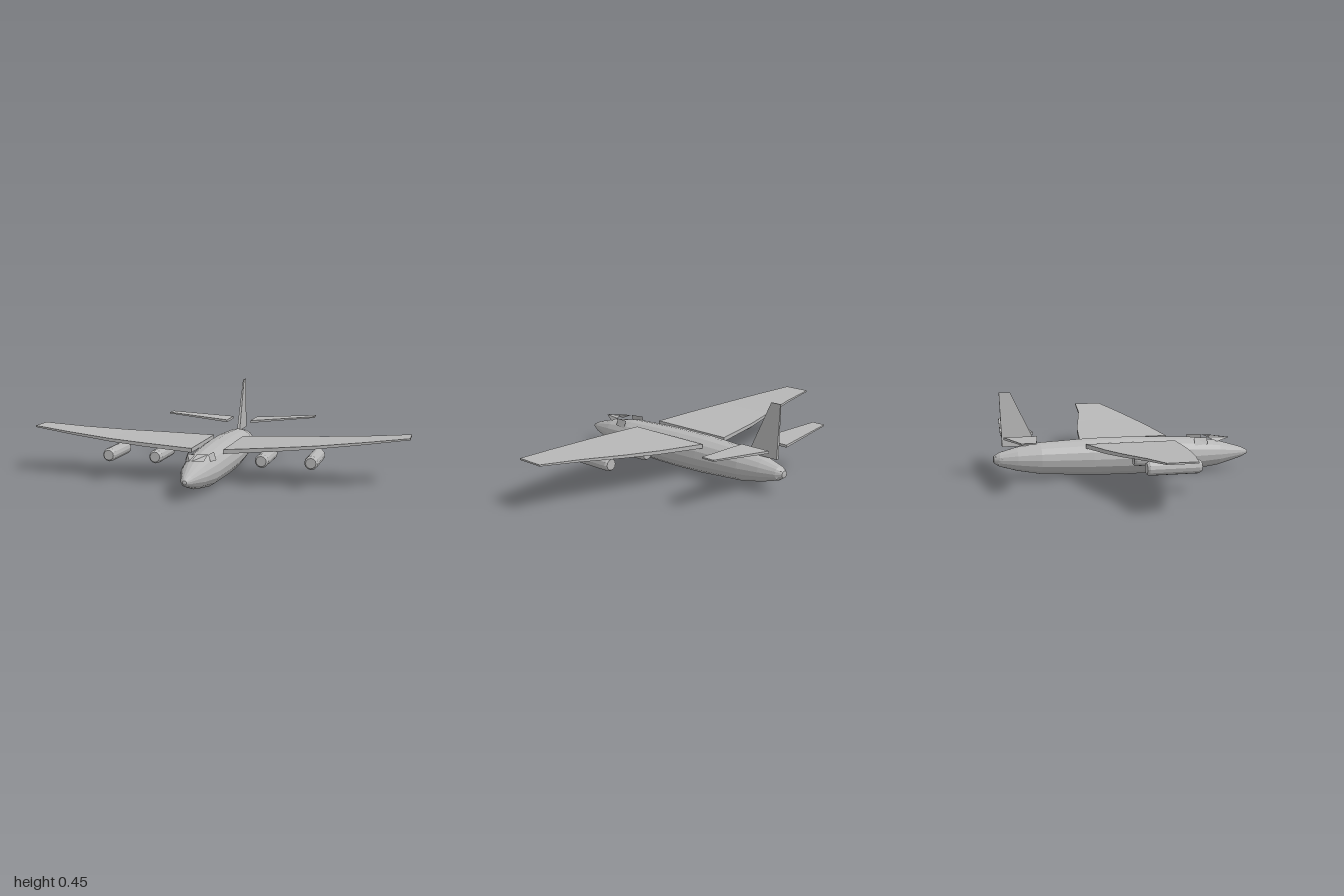
import * as THREE from 'three';

const grey = new THREE.MeshStandardMaterial({ color: 0xb6b6b6 });
grey.name = 'airframe grey';
const paneGrey = new THREE.MeshStandardMaterial({ color: 0xb6b6b6, side: THREE.DoubleSide });
paneGrey.name = 'pane grey';

function add(group, name, geometry, material = grey) {
  const flat = geometry.index ? geometry.toNonIndexed() : geometry;
  flat.computeVertexNormals();
  const mesh = new THREE.Mesh(flat, material);
  mesh.name = name;
  group.add(mesh);
  return mesh;
}

// Turned body along z; profile is [radius, z] from back to front
function turned(profile, sides) {
  const points = profile.map(([r, z]) => new THREE.Vector2(r, z));
  return new THREE.LatheGeometry(points, sides).rotateX(Math.PI / 2);
}

// Closed solid through rings of four corners
function loft(rings) {
  const index = [];
  for (let s = 0; s < rings.length - 1; s++) {
    for (let i = 0; i < 4; i++) {
      const j = (i + 1) % 4, a = s * 4, b = a + 4;
      index.push(a + i, b + i, b + j, a + i, b + j, a + j);
    }
  }
  const e = (rings.length - 1) * 4;
  index.push(0, 1, 2, 0, 2, 3, e + 3, e + 2, e + 1, e + 3, e + 1, e);
  const g = new THREE.BufferGeometry();
  g.setAttribute('position', new THREE.Float32BufferAttribute(rings.flat(2), 3));
  g.setIndex(index);
  return g;
}

// Lifting surface; each station is [x, front z, back z, underside y, thickness]
function surface(stations, side) {
  return loft(stations.map(([x, f, b, y, t]) => {
    const ring = [[x * side, y, f], [x * side, y + t, f], [x * side, y + t, b], [x * side, y, b]];
    return side > 0 ? ring : ring.reverse();
  }));
}

// Thin window pane with three or four corners
function pane(corners, side) {
  const g = new THREE.BufferGeometry();
  const points = corners.flatMap(([x, y, z]) => [x * side, y, z]);
  g.setAttribute('position', new THREE.Float32BufferAttribute(points, 3));
  let index = corners.length === 4 ? [0, 1, 2, 0, 2, 3] : [0, 1, 2];
  if (side < 0) index = index.reverse();
  g.setIndex(index);
  return g;
}

export function createModel() {
  const plane = new THREE.Group();
  plane.name = 'aeroplane';

  // Fuselage, with the nose slightly lowered
  const fuselage = turned([
    [0, -0.692], [0.018, -0.69], [0.037, -0.66], [0.062, -0.57], [0.083, -0.45],
    [0.098, -0.18], [0.1, 0], [0.098, 0.13], [0.09, 0.36], [0.066, 0.52],
    [0.029, 0.65], [0.01, 0.69], [0, 0.692],
  ], 16);
  const p = fuselage.attributes.position;
  for (let i = 0; i < p.count; i++) {
    p.setXYZ(i, p.getX(i) * 1.05, p.getY(i) + 0.101 - 0.012 * p.getZ(i), p.getZ(i));
  }
  add(plane, 'fuselage', fuselage);

  // Tail fin
  const fin = [[0.175, -0.465, -0.645, 0.008], [0.455, -0.6, -0.657, 0.003]];
  add(plane, 'tailFin', loft(fin.map(([y, f, b, w]) =>
    [[-w, y, f], [-w, y, b], [w, y, b], [w, y, f]])));

  for (const side of [1, -1]) {
    const label = side > 0 ? 'left' : 'right';

    add(plane, label + 'Wing', surface([
      [0.083, 0.257, -0.222, 0.162, 0.022],
      [0.355, 0.227, -0.18, 0.18, 0.019],
      [0.54, 0.198, -0.137, 0.194, 0.016],
      [0.78, 0.147, -0.083, 0.217, 0.012],
      [1, 0.09, -0.057, 0.24, 0.008],
    ], side));

    add(plane, label + 'Tailplane', surface([
      [0.068, -0.473, -0.645, 0.221, 0.013],
      [0.425, -0.535, -0.608, 0.253, 0.007],
    ], side));

    // Engines below the wing
    for (const [name, x] of [['InnerEngine', 0.277], ['OuterEngine', 0.527]]) {
      const engine = add(plane, label + name, turned([
        [0, -0.02], [0.028, -0.02], [0.035, -0.008], [0.035, 0.24], [0.026, 0.256], [0, 0.256],
      ], 12));
      engine.position.set(x * side, 0.131, 0);
    }

    // Cockpit panes
    add(plane, label + 'Windscreen', pane([
      [0.004, 0.176, 0.585], [0.045, 0.162, 0.505], [0.052, 0.188, 0.447], [0.004, 0.192, 0.48],
    ], side), paneGrey);
    add(plane, label + 'SideWindow', pane([
      [0.064, 0.153, 0.445], [0.076, 0.15, 0.372], [0.062, 0.19, 0.368], [0.053, 0.188, 0.445],
    ], side), paneGrey);

    // Small panes around the tail end
    add(plane, label + 'TailPane', pane([
      [0.046, 0.118, -0.645], [0.016, 0.128, -0.685], [0.03, 0.085, -0.668],
    ], side), paneGrey);
  }
  return plane;
}
